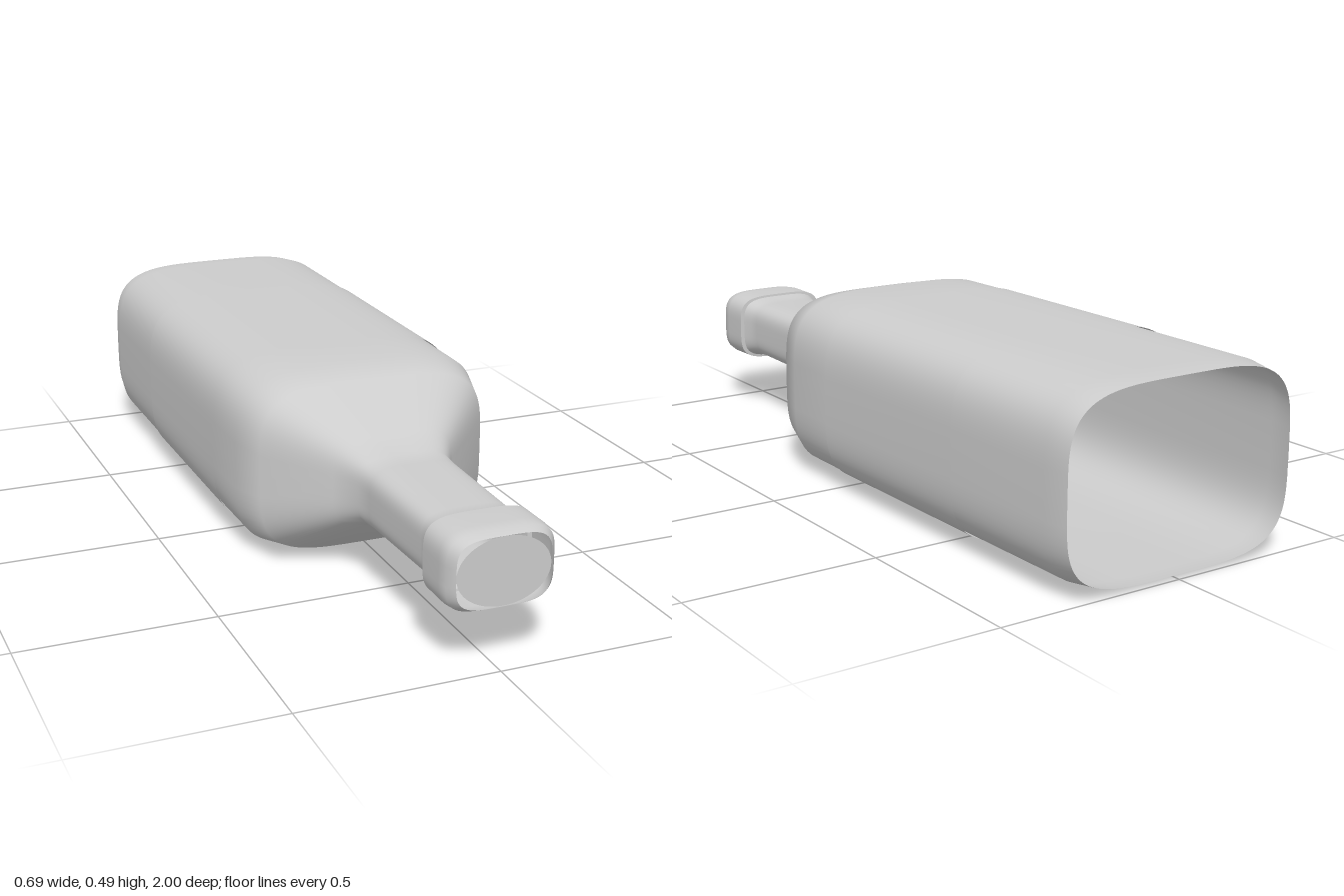
import * as THREE from 'three';

const CENTRE_Y = 0.251;
const SEGMENTS = 96;

// Lofts rounded-rectangle sections [z, half width, half height] along z.
function loft(sections, power = 4) {
  const positions = [];
  const indices = [];
  const round = (v) => Math.sign(v) * Math.abs(v) ** (2 / power);
  for (const [z, rx, ry] of sections) {
    for (let j = 0; j < SEGMENTS; j++) {
      const t = (j / SEGMENTS) * Math.PI * 2;
      positions.push(rx * round(Math.cos(t)), ry * round(Math.sin(t)), z);
    }
  }
  for (let i = 0; i < sections.length - 1; i++) {
    for (let j = 0; j < SEGMENTS; j++) {
      const k = (j + 1) % SEGMENTS;
      const a = i * SEGMENTS + j, b = i * SEGMENTS + k;
      indices.push(a, b, a + SEGMENTS, b, b + SEGMENTS, a + SEGMENTS);
    }
  }
  const geometry = new THREE.BufferGeometry();
  geometry.setAttribute('position', new THREE.Float32BufferAttribute(positions, 3));
  geometry.setIndex(indices);
  geometry.computeVertexNormals();
  return geometry;
}

export function createModel() {
  const group = new THREE.Group();
  group.name = 'bottle';
  const grey = new THREE.MeshStandardMaterial({ color: 0xcccccc, side: THREE.DoubleSide });
  grey.name = 'light grey';

  const add = (name, geometry) => {
    const mesh = new THREE.Mesh(geometry, grey);
    mesh.name = name;
    mesh.position.y = CENTRE_Y;
    group.add(mesh);
    return mesh;
  };

  // Hollow body, shoulder and neck, open at the back
  add('bottleBody', loft([
    [-1, 0.328, 0.234],
    [-0.93, 0.339, 0.243],
    [-0.4, 0.34, 0.244],
    [0.0, 0.34, 0.244],
    [0.17, 0.338, 0.243],
    [0.27, 0.308, 0.221],
    [0.4, 0.163, 0.117],
    [0.47, 0.125, 0.089],
    [0.53, 0.121, 0.086],
    [0.81, 0.115, 0.083],
    [0.84, 0.118, 0.085],
    [0.87, 0.127, 0.091],
  ]));

  // Thin sleeve around the body
  add('label', loft([
    [-0.58, 0.343, 0.246],
    [0.0, 0.343, 0.246],
  ]));

  // Lip ring around the mouth, with a small step up from the neck
  add('lipStep', loft([[0.869, 0.125, 0.09], [0.87, 0.138, 0.097]]));
  add('lip', loft([
    [0.87, 0.138, 0.097],
    [0.95, 0.138, 0.098],
    [0.98, 0.134, 0.095],
    [1.0, 0.118, 0.085],
  ]));

  // Oval stopper disc in the mouth
  const stopper = add('stopper', new THREE.CircleGeometry(1, 64));
  stopper.scale.set(0.117, 0.084, 1);
  stopper.position.z = 0.998;

  return group;
}
